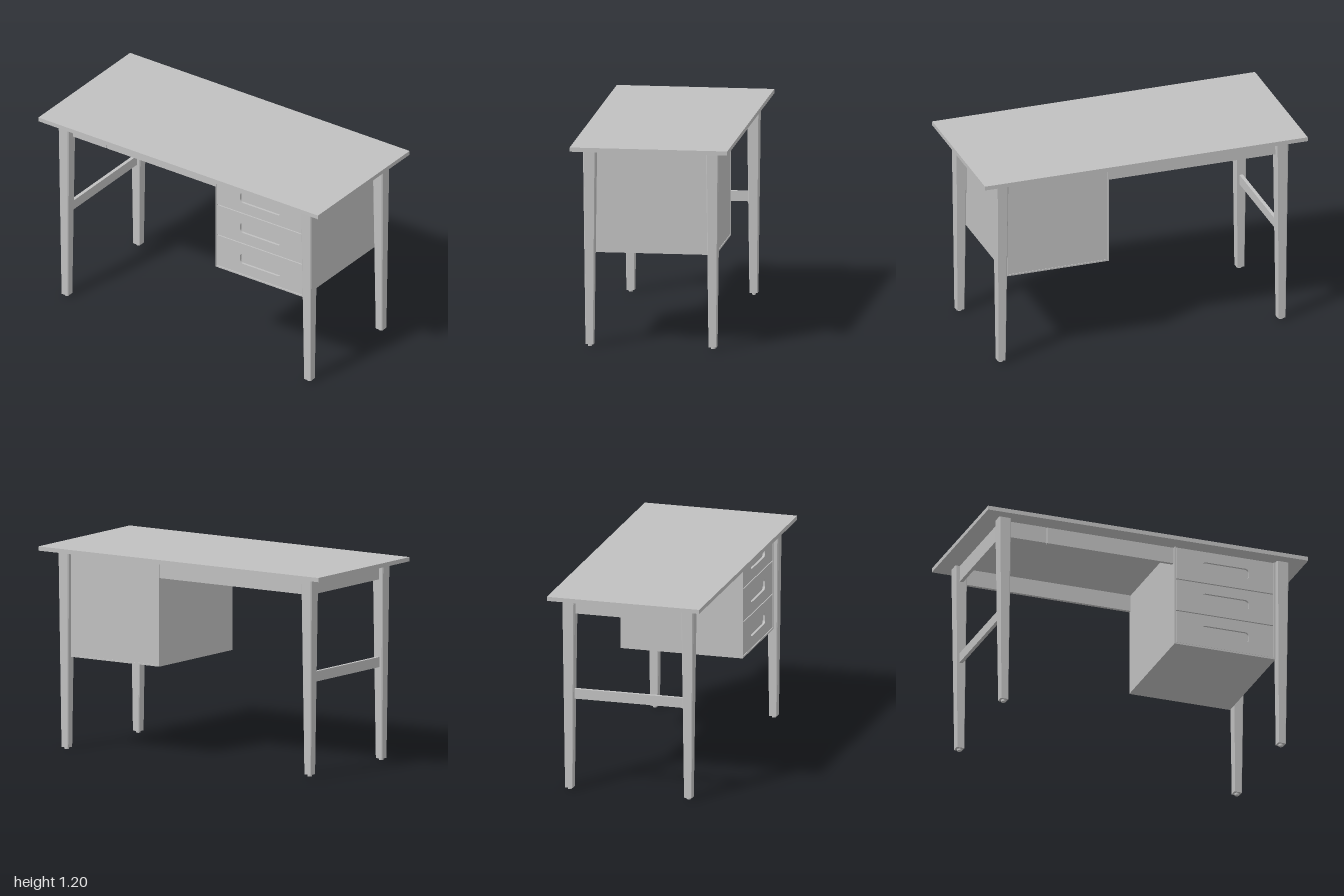
import * as THREE from 'three';

export function createModel() {
  const desk = new THREE.Group();
  desk.name = 'desk';
  const grey = new THREE.MeshStandardMaterial({ color: 0xc0c0c0 });
  grey.name = 'plain grey';

  const add = (name, geometry, parent = desk) => {
    const mesh = new THREE.Mesh(geometry, grey);
    mesh.name = name;
    parent.add(mesh);
    return mesh;
  };
  // Box given by its limits on each axis
  const box = (name, [x0, x1], [y0, y1], [z0, z1], parent) => {
    const mesh = add(name, new THREE.BoxGeometry(x1 - x0, y1 - y0, z1 - z0), parent);
    mesh.position.set((x0 + x1) / 2, (y0 + y1) / 2, (z0 + z1) / 2);
    return mesh;
  };

  const topY = 1.175, legX = 0.8675, legZ = 0.363;

  // Table top
  box('tableTop', [-1, 1], [topY, 1.2], [-0.465, 0.465]);

  // Tapered legs with chamfered corners
  const legGeometry = () => {
    const h = 0.0375, c = 0.006, bottom = 0.012, height = topY - bottom;
    const section = new THREE.Shape([
      [h, -h + c], [h, h - c], [h - c, h], [-h + c, h],
      [-h, h - c], [-h, -h + c], [-h + c, -h], [h - c, -h],
    ].map(([x, y]) => new THREE.Vector2(x, y)));
    const g = new THREE.ExtrudeGeometry(section, { depth: height, bevelEnabled: false });
    g.rotateX(-Math.PI / 2);
    const p = g.attributes.position;
    for (let i = 0; i < p.count; i++) {
      const s = 0.64 + 0.36 * p.getY(i) / height;
      p.setXYZ(i, p.getX(i) * s, p.getY(i) + bottom, p.getZ(i) * s);
    }
    g.computeVertexNormals();
    return g;
  };
  const legShape = legGeometry();
  const footShape = new THREE.CylinderGeometry(0.013, 0.013, 0.014, 16);
  for (const sx of [-1, 1]) {
    for (const sz of [-1, 1]) {
      const leg = new THREE.Group();
      leg.name = (sz > 0 ? 'front' : 'back') + (sx > 0 ? 'Left' : 'Right') + 'Leg';
      leg.position.set(sx * legX, 0, sz * legZ);
      add('legPost', legShape, leg);
      add('footGlide', footShape, leg).position.y = 0.007;
      desk.add(leg);
    }
  }

  // Rails under the top; the front one has a seam
  const railY = [1.075, topY];
  box('frontRailShort', [-0.85, -0.592], railY, [0.333, 0.353]);
  box('frontRailLong', [-0.588, 0.2], railY, [0.333, 0.353]);
  box('backRail', [-0.85, 0.2], railY, [-0.373, -0.353]);
  box('sideRail', [-0.878, -0.857], railY, [-0.34, 0.34]);
  box('sideStretcher', [-0.878, -0.857], [0.555, 0.615], [-0.345, 0.345]);

  // Drawer cabinet
  const cabinet = new THREE.Group();
  cabinet.name = 'drawerCabinet';
  desk.add(cabinet);
  const x0 = 0.2, x1 = 0.83, y0 = 0.55, t = 0.01, depth = [-0.375, 0.372];
  box('cabinetInnerSide', [x0, x0 + t], [y0, topY], depth, cabinet);
  box('cabinetOuterSide', [x1 - t, x1], [y0, topY], depth, cabinet);
  box('cabinetBottom', [x0 + t, x1 - t], [y0, y0 + t], depth, cabinet);
  box('cabinetBack', [x0 + t, x1 - t], [y0 + t, topY], [-0.372, -0.36], cabinet);
  box('drawerBacking', [x0 + t, x1 - t], [y0 + t, topY], [0.34, 0.355], cabinet);

  // Drawer fronts with rounded finger recesses
  const drawerFront = (bottom, top, gripY) => {
    const l = x0 + t + 0.002, r = x1 - t - 0.002;
    const shape = new THREE.Shape();
    shape.moveTo(l, bottom).lineTo(r, bottom).lineTo(r, top).lineTo(l, top).closePath();
    const a = 0.375, b = 0.665, lo = gripY - 0.033, hi = gripY + 0.033, q = 0.022;
    const grip = new THREE.Path();
    grip.moveTo(a + q, lo);
    grip.absarc(b - q, lo + q, q, -Math.PI / 2, 0);
    grip.absarc(b - q, hi - q, q, 0, Math.PI / 2);
    grip.absarc(a + q, hi - q, q, Math.PI / 2, Math.PI);
    grip.absarc(a + q, lo + q, q, Math.PI, Math.PI * 1.5);
    shape.holes.push(grip);
    return new THREE.ExtrudeGeometry(shape, { depth: 0.014, bevelEnabled: false, curveSegments: 6 });
  };
  [[0.562, 0.764, 0.663], [0.77, 0.967, 0.871], [0.973, 1.172, 1.073]].forEach(([b, h, g], i) => {
    add(['lower', 'middle', 'upper'][i] + 'DrawerFront', drawerFront(b, h, g), cabinet).position.z = 0.355;
  });

  return desk;
}
